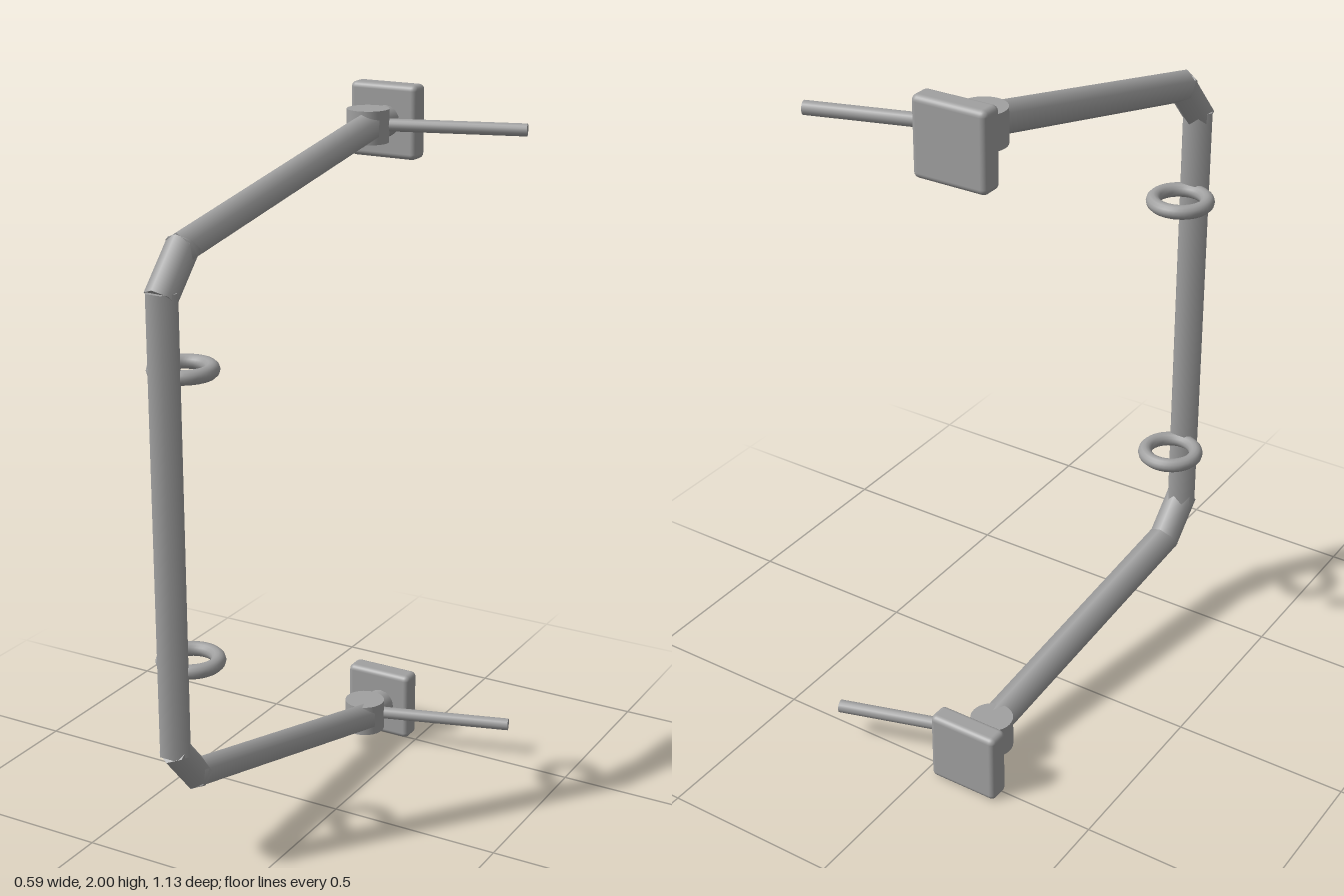
import * as THREE from 'three';
import { RoundedBoxGeometry } from 'three/addons/geometries/RoundedBoxGeometry.js';

export function createModel() {
  const model = new THREE.Group();
  model.name = 'wallHandle';
  const metal = new THREE.MeshStandardMaterial({ color: 0xa0a0a0 });
  metal.name = 'greyMetal';

  const add = (name, geometry, x = 0, y = 0, z = 0) => {
    const mesh = new THREE.Mesh(geometry, metal);
    mesh.name = name;
    mesh.position.set(x, y, z);
    model.add(mesh);
    return mesh;
  };

  // Sideways axis, square to the slightly turned plane of the handle
  const side = new THREE.Vector3(1, 0, 0.085).normalize();

  // Straight bar from a to b, lengthened by "extra" at each end
  const bar = (name, a, b, radius, sides, extra = 0) => {
    const dir = b.clone().sub(a);
    const length = dir.length() + 2 * extra;
    dir.normalize();
    const x = side.clone().addScaledVector(dir, -side.dot(dir)).normalize();
    const z = x.clone().cross(dir);
    const mesh = add(name, new THREE.CylinderGeometry(radius, radius, length, sides));
    mesh.quaternion.setFromRotationMatrix(new THREE.Matrix4().makeBasis(x, dir, z));
    mesh.position.copy(a).add(b).multiplyScalar(0.5);
  };

  // Upright grip
  const grip = new THREE.CylinderGeometry(0.045, 0.045, 1.256, 6);
  grip.rotateY(Math.PI / 6);
  add('grip', grip, -0.19, 1, 0.528);

  for (const [label, s] of [['upper', 1], ['lower', -1]]) {
    const at = (x, h, z) => new THREE.Vector3(x, 1 + s * h, z);

    // Bend and arm leading back to the wall
    bar(label + 'Bend', at(-0.189, 0.622, 0.526), at(-0.182, 0.722, 0.445), 0.044, 6, 0.013);
    bar(label + 'Arm', at(-0.182, 0.722, 0.445), at(-0.112, 0.9, -0.39), 0.044, 6, 0.013);

    // Hinge drum and stub into the wall plate
    add(label + 'Hinge', new THREE.CylinderGeometry(0.059, 0.059, 0.092, 32), -0.126, 1 + s * 0.898, -0.403);
    bar(label + 'Stub', at(-0.123, 0.898, -0.403), at(-0.112, 0.898, -0.54), 0.044, 16);

    // Wall plate
    add(label + 'Plate', new RoundedBoxGeometry(0.207, 0.207, 0.064, 3, 0.016), -0.126, 1 + s * 0.8965, -0.518);

    // Thin pin pointing sideways
    bar(label + 'Pin', at(-0.12, 0.898, -0.42), at(0.289, 0.898, -0.547), 0.0178, 16);

    // Ring on the grip
    const ring = new THREE.TorusGeometry(0.074, 0.02, 12, 40);
    ring.rotateX(Math.PI / 2);
    add(label + 'Ring', ring, -0.203, 1 + s * 0.402, 0.424);
  }
  return model;
}
